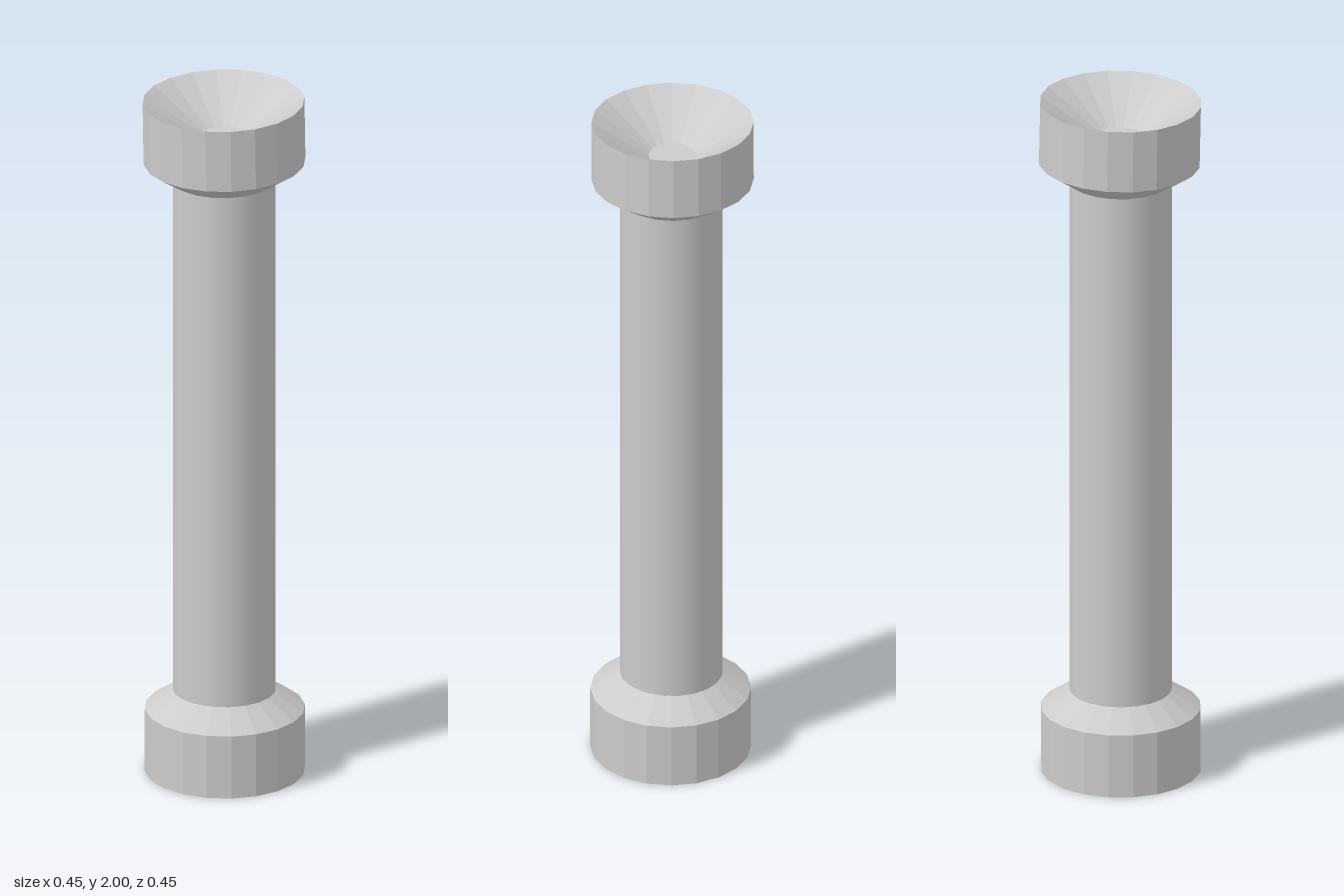
import * as THREE from 'three';

const smooth = new THREE.MeshStandardMaterial({ color: 0xcccccc });
const faceted = new THREE.MeshStandardMaterial({ color: 0xcccccc, flatShading: true });

// Revolve a profile of [radius, height] pairs, listed from bottom to top on the outside
function lathe(name, profile, sides, material) {
  const points = profile.map(([r, y]) => new THREE.Vector2(r, y));
  const mesh = new THREE.Mesh(new THREE.LatheGeometry(points, sides), material);
  mesh.name = name;
  return mesh;
}

export function createModel() {
  const group = new THREE.Group();
  group.name = 'flaredColumn';

  // Round shaft between the two collars
  const shaft = new THREE.Mesh(new THREE.CylinderGeometry(0.142, 0.142, 1.56, 40, 1, true), smooth);
  shaft.name = 'shaft';
  shaft.position.y = 1;
  group.add(shaft);

  // Lower collar with a shallow hollow underneath
  const lower = lathe('lowerCollar',
    [[0, 0.08], [0.12, 0.08], [0.223, 0], [0.223, 0.185], [0.142, 0.24]], 20, faceted);
  lower.position.x = 0.002;
  group.add(lower);

  // Upper collar with a funnel-shaped mouth, tipped slightly forward
  const upper = lathe('upperCollar',
    [[0.142, -0.115], [0.225, -0.06], [0.225, 0.12], [0.067, 0.015], [0, 0.015]], 20, faceted);
  upper.position.set(-0.003, 1.875, -0.002);
  upper.rotation.x = 0.02;
  group.add(upper);

  return group;
}
